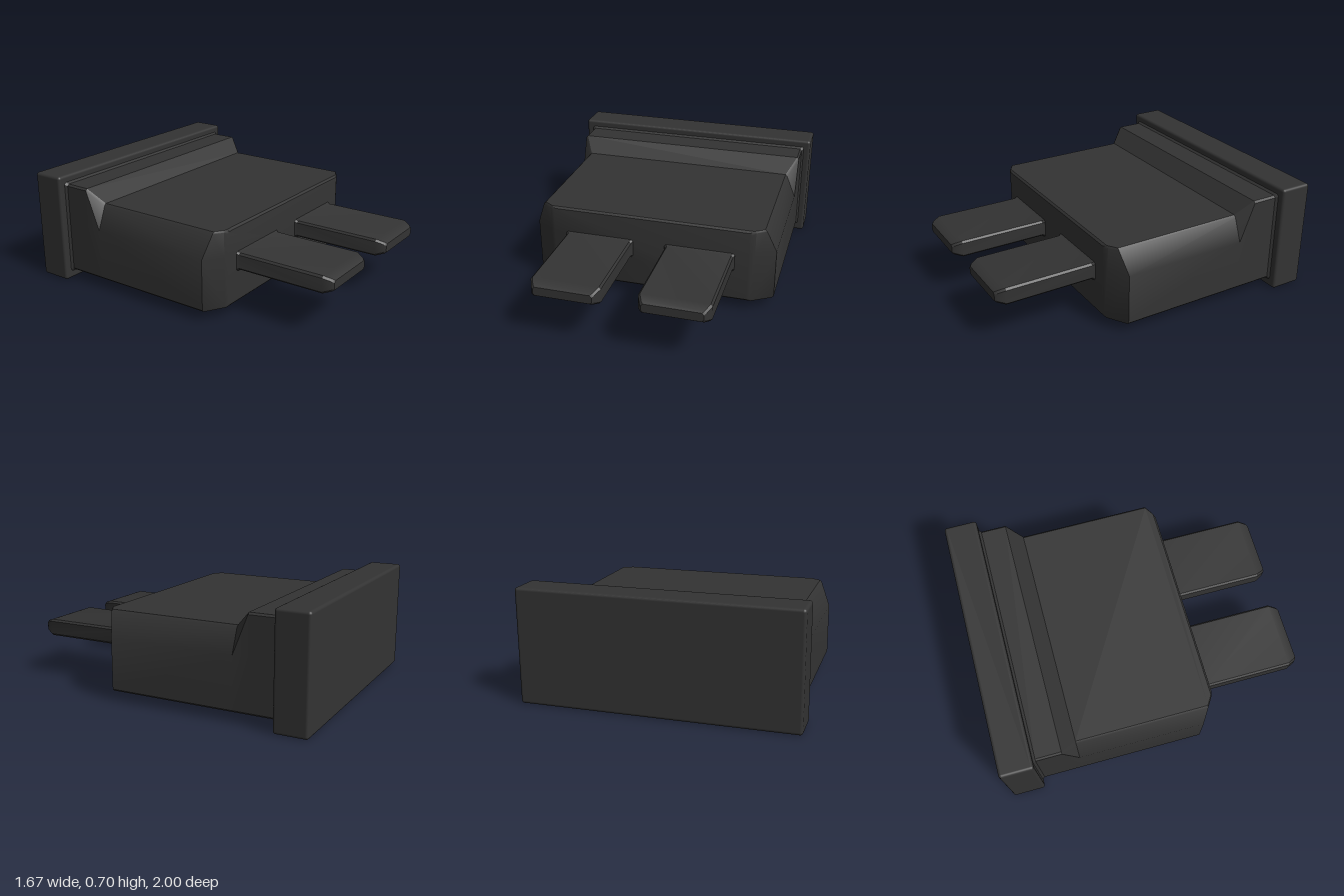
import * as THREE from 'three';
import { toCreasedNormals } from 'three/addons/utils/BufferGeometryUtils.js';
import { RoundedBoxGeometry } from 'three/addons/geometries/RoundedBoxGeometry.js';

// Skins cross-sections ordered back to front. Each is the right half of a
// symmetric loop, listed bottom to top; the other half is mirrored.
function loft(halves) {
  const loops = halves.map((h) => [...h, ...h.map(([x, y, z]) => [-x, y, z]).reverse()]);
  const n = loops[0].length;
  const pos = [];
  const tri = (...pts) => pts.forEach((p) => pos.push(...p));
  for (let i = 0; i < loops.length - 1; i++) {
    for (let j = 0; j < n; j++) {
      const k = (j + 1) % n;
      const a = loops[i][j], b = loops[i][k], c = loops[i + 1][k], d = loops[i + 1][j];
      // Diagonals are mirrored so both sides crease alike
      if (j < n / 2) { tri(a, b, d); tri(b, c, d); } else { tri(a, b, c); tri(a, c, d); }
    }
  }
  const first = loops[0], last = loops[loops.length - 1];
  for (let j = 1; j < n - 1; j++) {
    tri(first[0], first[j + 1], first[j]);
    tri(last[0], last[j], last[j + 1]);
  }
  const geo = new THREE.BufferGeometry();
  geo.setAttribute('position', new THREE.Float32BufferAttribute(pos, 3));
  return toCreasedNormals(geo, 0.5);
}

// Housing section: half width w up to mid height, narrowing to t at the top
function bodySection(z, w, t, bottom, top, zTop = z) {
  const b = 0.012;
  return [
    [w - b, bottom, z], [w, bottom + b, z], [w, 0.39, z],
    [t, top - b, zTop], [t - b, top, zTop],
  ];
}

// Blade section: rectangle with clipped corners
function bladeSection(z, w, h) {
  const b = 0.012;
  return [[w - b, -h, z], [w, -h + b, z], [w, h - b, z], [w - b, h, z]];
}

export function createModel() {
  const group = new THREE.Group();
  const plastic = new THREE.MeshStandardMaterial({ color: 0x333333 });
  const add = (name, geo, x = 0, y = 0, z = 0) => {
    const mesh = new THREE.Mesh(geo, plastic);
    mesh.name = name;
    mesh.position.set(x, y, z);
    group.add(mesh);
  };

  // Wide grip plate at the back
  add('gripFlange', new RoundedBoxGeometry(1.67, 0.7, 0.21, 3, 0.018), 0, 0.35, -0.895);

  // Housing: flared root, raised shoulder, ramp, chamfered sides and front corners
  add('housing', loft([
    bodySection(-0.795, 0.795, 0.795, 0.045, 0.66),
    bodySection(-0.775, 0.78, 0.78, 0.06, 0.645),
    bodySection(-0.615, 0.78, 0.78, 0.06, 0.645),
    bodySection(-0.52, 0.78, 0.72, 0.06, 0.55),
    bodySection(0.285, 0.78, 0.72, 0.06, 0.55, 0.32),
    bodySection(0.358, 0.66, 0.66, 0.06, 0.55),
    bodySection(0.37, 0.635, 0.635, 0.072, 0.538),
  ]));

  // Two contact blades with tapered tips
  [['rightBlade', -0.335], ['leftBlade', 0.315]].forEach(([name, x]) => {
    add(name, loft([
      bladeSection(0.36, 0.228, 0.067),
      bladeSection(0.385, 0.215, 0.054),
      bladeSection(0.94, 0.215, 0.054),
      bladeSection(0.988, 0.192, 0.037),
      bladeSection(1.0, 0.18, 0.028),
    ]), x, 0.325);
  });

  return group;
}
